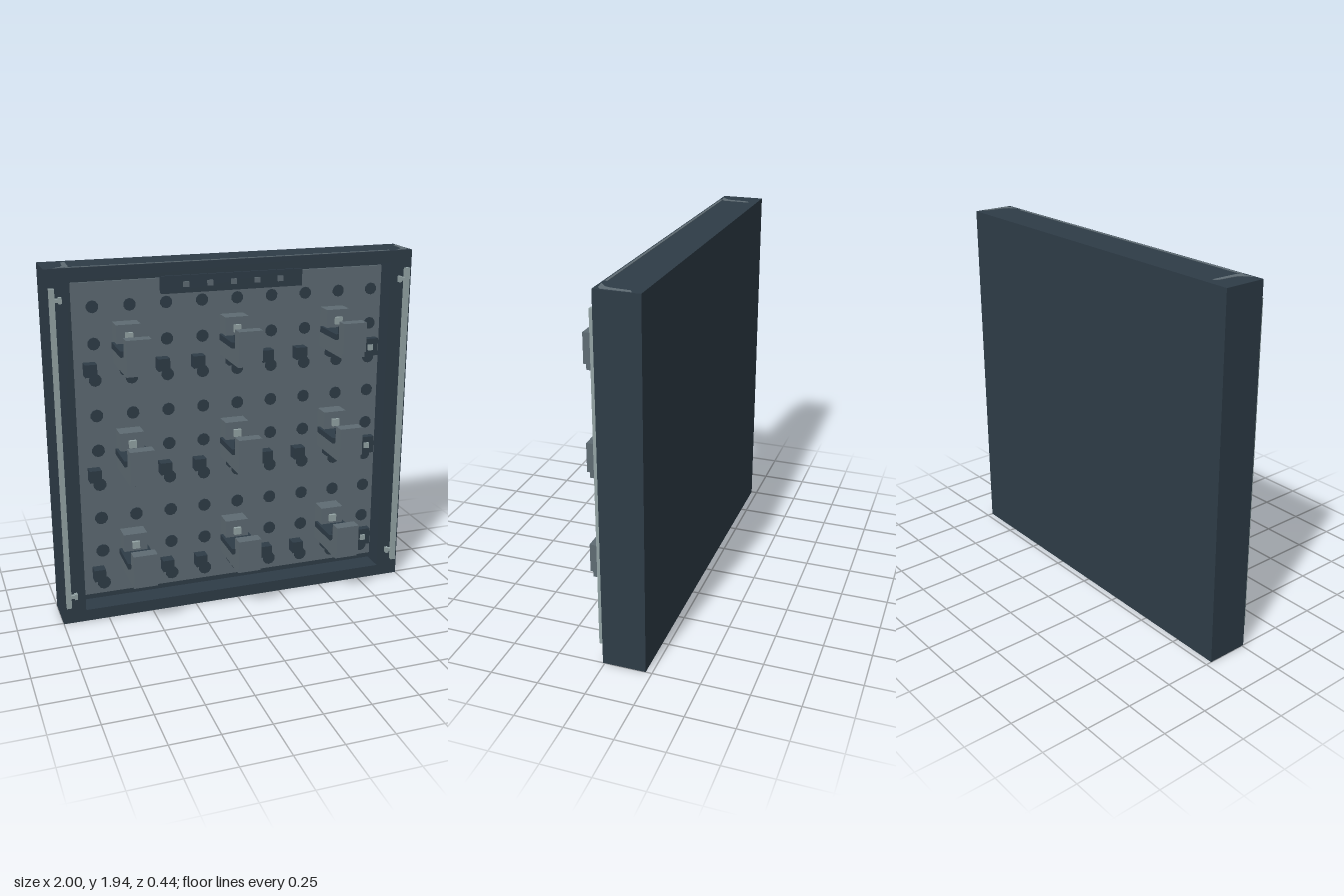
import * as THREE from 'three';

const material = (name, color) => {
  const m = new THREE.MeshStandardMaterial({ color });
  m.name = name;
  return m;
};

export function createModel() {
  const dark = material('dark slate', 0x2e3c47);
  const grey = material('mid grey', 0x5e6b73);
  const pale = material('pale metal', 0x93a3a4);
  const model = new THREE.Group();
  model.name = 'wallRack';

  const add = (parent, name, geometry, mat, x = 0, y = 0, z = 0) => {
    const mesh = new THREE.Mesh(geometry, mat);
    mesh.name = name;
    mesh.position.set(x, y, z);
    parent.add(mesh);
    return mesh;
  };
  // Box given by its limits on each axis
  const box = (parent, name, mat, x0, x1, y0, y1, z0, z1) =>
    add(parent, name, new THREE.BoxGeometry(x1 - x0, y1 - y0, z1 - z0), mat,
      (x0 + x1) / 2, (y0 + y1) / 2, (z0 + z1) / 2);
  const rectangle = (Type, x0, x1, y0, y1) => new Type([
    new THREE.Vector2(x0, y0), new THREE.Vector2(x1, y0),
    new THREE.Vector2(x1, y1), new THREE.Vector2(x0, y1)]);

  // Tray: a deep frame closed at the back
  const outline = rectangle(THREE.Shape, -1, 1, 0, 1.935);
  outline.holes.push(rectangle(THREE.Path, -0.875, 0.875, 0.065, 1.87));
  add(model, 'frame', new THREE.ExtrudeGeometry(outline, { depth: 0.16, bevelEnabled: false }),
    dark, 0, 0, -0.15);
  box(model, 'backBoard', dark, -1, 1, 0, 1.935, -0.217, -0.15);
  box(model, 'innerFloor', dark, -0.875, 0.875, 0.065, 1.87, -0.15, -0.115);
  box(model, 'pegPanel', grey, -0.875, 0.875, 0.1, 1.84, -0.115, -0.1);

  // Grid of round peg holes, slightly larger towards the bottom
  const holes = new THREE.Group();
  holes.name = 'pegHoles';
  model.add(holes);
  for (let row = 0; row < 9; row++) {
    const r = 0.033 + row * 0.0005;
    const disc = new THREE.CylinderGeometry(r, r, 0.008, 10).rotateX(Math.PI / 2);
    for (let col = 0; col < 9; col++) {
      add(holes, 'pegHole', disc, dark, -0.748 + col * 0.195, 1.714 - row * 0.194, -0.098);
    }
  }

  // One hook with its back plate, arm, upturned lip and dark padding
  const addHook = (x, y) => {
    const hook = new THREE.Group();
    hook.name = 'hook';
    hook.position.set(x, y, 0);
    model.add(hook);
    box(hook, 'hookBackPlate', grey, -0.065, 0.065, 0, 0.22, -0.1, -0.005);
    box(hook, 'hookArm', grey, -0.065, 0.065, 0, 0.095, -0.005, 0.205);
    box(hook, 'hookLip', grey, -0.065, 0.065, 0.03, 0.19, 0.155, 0.22);
    box(hook, 'armPad', dark, -0.08, 0.08, 0.09, 0.122, -0.06, 0.15);
    box(hook, 'lipPad', dark, -0.06, 0.06, 0.122, 0.158, 0.132, 0.156);
    box(hook, 'hookScrew', pale, -0.02, 0.02, 0.14, 0.18, -0.005, 0.012);
  };

  // Three tiers: hooks, small stop blocks and a tally plate
  [1.41, 0.83, 0.25].forEach((y, tier) => {
    for (const x of [-0.583, 0, 0.58]) addHook(x, y);
    for (let i = 0; i < 8; i++) {
      const x = -0.778 + i * 0.194;
      box(model, 'stopBlock', dark, x - 0.032, x + 0.032, y - 0.052, y + 0.015, -0.1, -0.04);
    }
    box(model, 'tallyPlate', dark, 0.69, 0.853, y - 0.07, y + 0.028, -0.1, -0.06);
    for (let i = 0; i < 3 - tier; i++) {
      const x = 0.805 - i * 0.065;
      box(model, 'tallyMark', pale, x - 0.014, x + 0.014, y - 0.036, y - 0.005, i === 2 ? -0.1 : -0.06, -0.048);
    }
  });

  // Header bar with five studs
  box(model, 'headerBar', dark, -0.39, 0.387, 1.763, 1.855, -0.1, -0.06);
  for (let i = -2; i <= 2; i++) {
    const x = i * 0.13;
    box(model, 'headerStud', grey, x - 0.015, x + 0.015, 1.795, 1.823, -0.06, -0.048);
  }

  // Side rails with bolts at both ends
  for (const s of [-1, 1]) {
    const span = (a, b) => (s > 0 ? [a, b] : [-b, -a]);
    box(model, 'sideRail', pale, ...span(0.955, 0.982), 0.1, 1.84, 0.01, 0.034);
    for (const y of [0.163, 1.78]) {
      box(model, 'railBolt', pale, ...span(0.935, 0.955), y - 0.009, y + 0.009, 0.01, 0.03);
      box(model, 'railBoltHead', pale, ...span(0.92, 0.936), y - 0.016, y + 0.016, 0.01, 0.034);
    }
  }

  // Worn marks on the top edge, as thin plates
  const wear = [[-0.865, -0.172], [-0.887, -0.16], [-0.897, -0.06], [-0.91, -0.03], [-0.95, 0],
    [-0.89, -0.008], [-0.87, -0.025]].map(([x, z]) => new THREE.Vector2(x, -z));
  const wearGeometry = new THREE.ExtrudeGeometry(new THREE.Shape(wear), { depth: 0.003, bevelEnabled: false })
    .rotateX(-Math.PI / 2);
  add(model, 'leftWearMark', wearGeometry, grey, 0, 1.934, 0);
  add(model, 'rightWearMark', wearGeometry, grey, 1.86, 1.934, 0);
  box(model, 'topEdgeWear', grey, -0.89, 0.87, 1.932, 1.937, -0.012, 0.002);

  return model;
}
